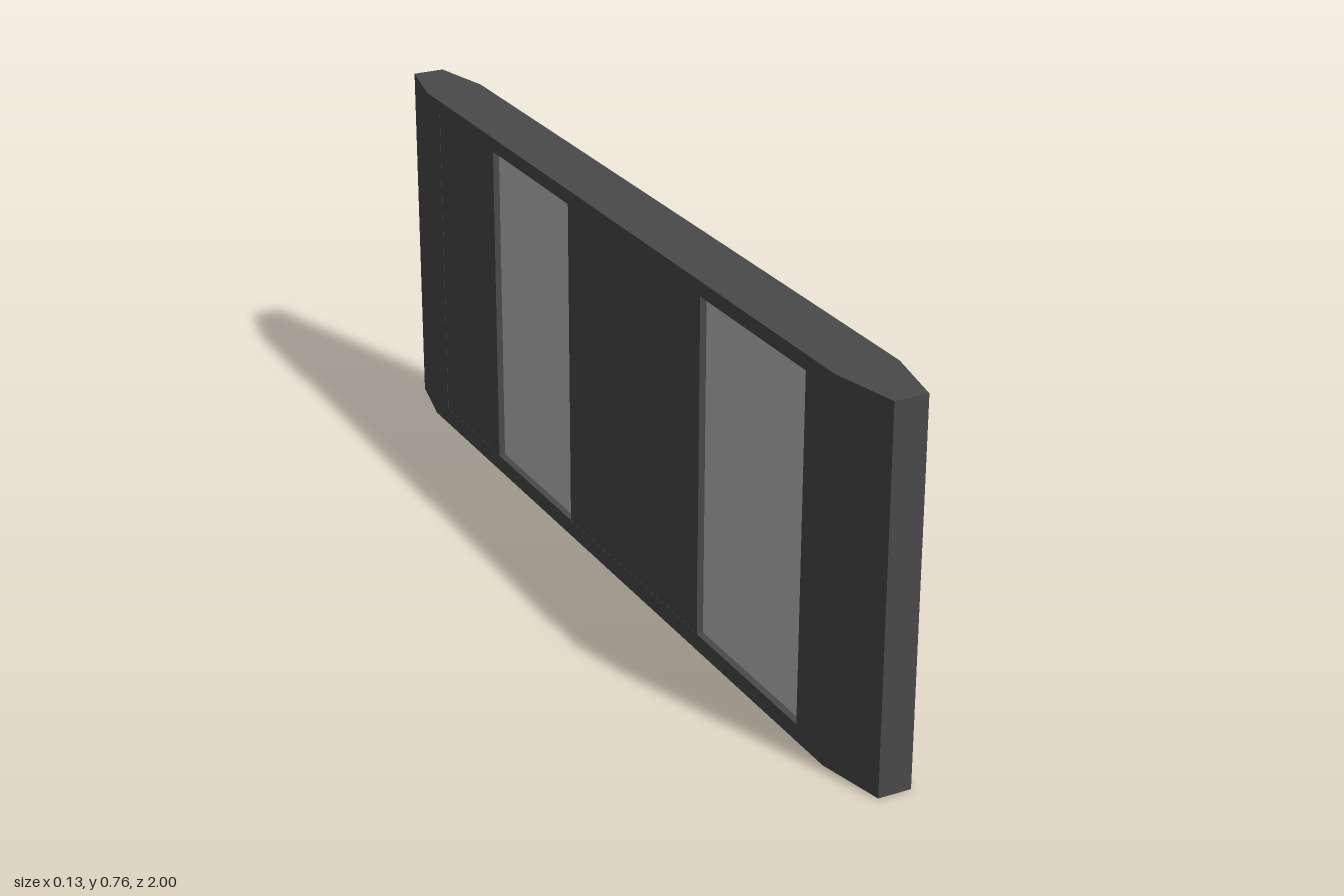
import * as THREE from 'three';

const H = 0.765;            // slab height
const X = 0.064;            // half thickness
const TIP = 0.034;          // half thickness at the tapered ends
const DEPTH = 0.015;        // depth of the recess on the -x face
const OPEN = { z0: -0.795, z1: 0.765, y0: 0.035, y1: 0.735 };

export function createModel() {
  const group = new THREE.Group();
  const dark = new THREE.MeshStandardMaterial({ color: 0x4a4a4a });
  dark.name = 'darkGrey';
  const light = new THREE.MeshStandardMaterial({ color: 0xc0c0c0 });
  light.name = 'lightGrey';

  const add = (name, geometry, material) => {
    const mesh = new THREE.Mesh(geometry, material);
    mesh.name = name;
    group.add(mesh);
    return mesh;
  };
  const points = (list) => list.map(([a, b]) => new THREE.Vector2(a, b));
  const rect = (a0, a1, b0, b1) => points([[a0, b0], [a1, b0], [a1, b1], [a0, b1]]);

  // Slab with tapered ends, notched along its -x face (plan outline, x and -z)
  const inner = -X + DEPTH;
  const plan = new THREE.Shape(points([
    [-TIP, -1], [TIP, -1], [X, -0.86], [X, 0.86], [TIP, 1], [-TIP, 1], [-X, 0.86],
    [-X, -OPEN.z0], [inner, -OPEN.z0], [inner, -OPEN.z1], [-X, -OPEN.z1], [-X, -0.86],
  ]));
  const body = new THREE.ExtrudeGeometry(plan, { depth: H, bevelEnabled: false });
  body.rotateX(-Math.PI / 2);
  add('body', body, dark);

  // Rails closing the notch above and below the opening
  const strip = (name, z0, z1, y0, y1, x0, x1, material) => {
    const mesh = add(name, new THREE.BoxGeometry(x1 - x0, y1 - y0, z1 - z0), material);
    mesh.position.set((x0 + x1) / 2, (y0 + y1) / 2, (z0 + z1) / 2);
  };
  strip('bottomRail', OPEN.z0, OPEN.z1, 0, OPEN.y0, -X, inner, dark);
  strip('topRail', OPEN.z0, OPEN.z1, OPEN.y1, H, -X, inner, dark);

  // Dark panels, almost flush with the face
  for (const [name, z0, z1] of [['endPanel', OPEN.z0, -0.52], ['middlePanel', -0.165, 0.385]]) {
    strip(name, z0, z1, OPEN.y0, OPEN.y1, -X + 0.0005, inner, dark);
  }

  // Light plates at the bottom of the two recesses
  for (const [name, z0, z1] of [['backWindow', -0.52, -0.165], ['frontWindow', 0.385, OPEN.z1]]) {
    const plate = new THREE.ShapeGeometry(new THREE.Shape(rect(z0, z1, OPEN.y0, OPEN.y1)));
    plate.rotateY(-Math.PI / 2);
    add(name, plate, light).position.x = inner - 0.001;
  }
  return group;
}
